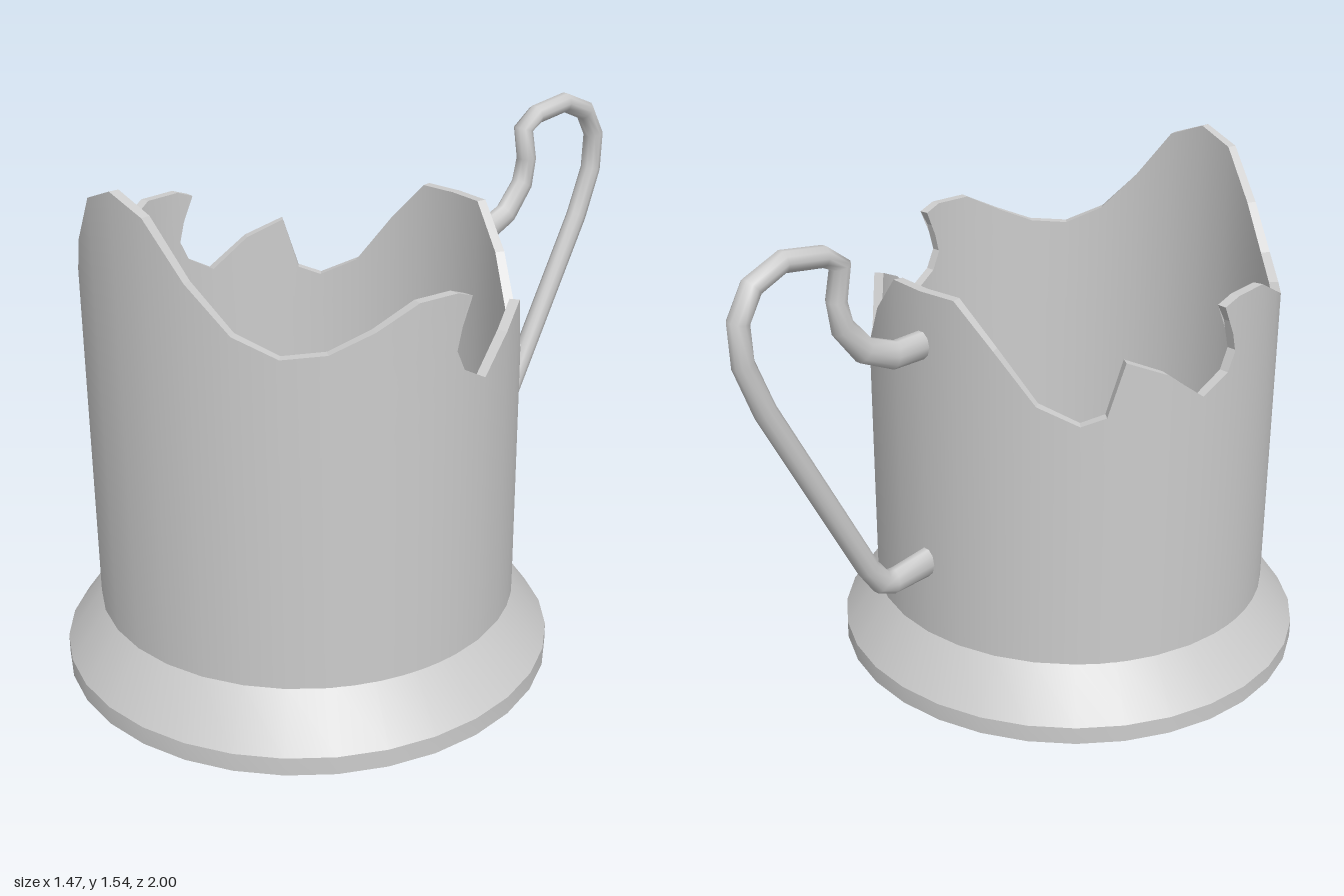
import * as THREE from 'three';
import { toCreasedNormals } from 'three/addons/utils/BufferGeometryUtils.js';

const CENTER_Z = 0.267, R_OUT = 0.625, R_IN = 0.596, SHOULDER = 0.205;
const material = new THREE.MeshStandardMaterial({ color: 0xcccccc, side: THREE.DoubleSide });

// Half of the ornamental rim, front to back: [angle at rim, rim height, angle at wall foot]
const HALF_RIM = [
  [0, 1.545, 0], [11.25, 1.5, 11.25], [22.5, 1.35, 22.5], [33.75, 1.225, 33.75],
  [45, 1.17, 44], [56.25, 1.18, 54], [67.5, 1.23, 62], [78.75, 1.29, 69], [90, 1.29, 75],
  [95.2, 1.27, 79], [92.5, 1.22, 82], [90.2, 1.13, 86], [92.9, 1.07, 92], [101.25, 1.02, 101.25],
  [112.5, 1.11, 112.5], [123.75, 1.16, 121], [128.3, 1.0, 128.3], [135, 0.975, 135],
  [146.25, 1.03, 146.25], [157.5, 1.18, 157.5], [168.75, 1.305, 168.75], [180, 1.305, 180],
];

// Cylindrical wall with thickness, its columns leaning where the rim overhangs
function wallGeometry() {
  const mirrored = HALF_RIM.slice(1, -1).reverse().map(([a, y, b]) => [360 - a, y, 360 - b]);
  const rim = [...HALF_RIM, ...mirrored, [360, HALF_RIM[0][1], 360]];
  const foot = 0.9, steps = 4;
  const positions = [], normals = [];
  const at = (deg, y, r) => {
    const a = THREE.MathUtils.degToRad(deg);
    return new THREE.Vector3(r * Math.sin(a), y, r * Math.cos(a));
  };
  // Points of one column from the shoulder up to the rim
  const column = ([a, y, b], r) => {
    const points = [at(b, SHOULDER, r)];
    for (let k = 0; k <= steps; k++) {
      const t = k / steps;
      points.push(at(b + (a - b) * t, foot + (y - foot) * t, r));
    }
    return points;
  };
  const quad = (p, q, r, s, normalOf) => {
    for (const v of [p, q, r, p, r, s]) {
      positions.push(...v);
      normals.push(...normalOf(v));
    }
  };
  const radial = (sign) => (v) => new THREE.Vector3(v.x, 0, v.z).normalize().multiplyScalar(sign);
  for (let i = 0; i < rim.length - 1; i++) {
    const o1 = column(rim[i], R_OUT), o2 = column(rim[i + 1], R_OUT);
    const i1 = column(rim[i], R_IN), i2 = column(rim[i + 1], R_IN);
    for (let k = 0; k <= steps; k++) {
      quad(o1[k], o2[k], o2[k + 1], o1[k + 1], radial(1));
      quad(i2[k], i1[k], i1[k + 1], i2[k + 1], radial(-1));
    }
    // Flat edge along the rim
    const top = steps + 1;
    const edge = new THREE.Vector3().subVectors(o2[top], o1[top]);
    const across = new THREE.Vector3().subVectors(i1[top], o1[top]);
    const up = edge.cross(across).normalize();
    quad(o1[top], o2[top], i2[top], i1[top], () => up);
  }
  const g = new THREE.BufferGeometry();
  g.setAttribute('position', new THREE.Float32BufferAttribute(positions, 3));
  g.setAttribute('normal', new THREE.Float32BufferAttribute(normals, 3));
  return g;
}

// Flared foot ring, open through the middle
function baseGeometry() {
  const profile = [[R_IN, SHOULDER], [R_IN, 0], [0.733, 0], [0.733, 0.055], [R_OUT, SHOULDER]];
  const lathe = new THREE.LatheGeometry(profile.map(([r, y]) => new THREE.Vector2(r, y)), 32);
  return toCreasedNormals(lathe, 0.5);
}

// Oval section swept along the handle path: [z, y, half thickness]
function handleGeometry() {
  const path = [
    [-0.345, 1.145, 0.043], [-0.46, 1.145, 0.042], [-0.565, 1.19, 0.039], [-0.636, 1.275, 0.035],
    [-0.652, 1.355, 0.03], [-0.634, 1.45, 0.03], [-0.69, 1.487, 0.03], [-0.82, 1.505, 0.031],
    [-0.92, 1.463, 0.032], [-0.968, 1.38, 0.032], [-0.963, 1.265, 0.032], [-0.904, 1.115, 0.033],
    [-0.583, 0.52, 0.034], [-0.535, 0.455, 0.037], [-0.49, 0.439, 0.041], [-0.345, 0.449, 0.048],
  ];
  const sides = 10, positions = [], index = [];
  path.forEach(([z, y, half], i) => {
    const a = path[Math.max(i - 1, 0)], b = path[Math.min(i + 1, path.length - 1)];
    const length = Math.hypot(b[0] - a[0], b[1] - a[1]);
    const nz = -(b[1] - a[1]) / length, ny = (b[0] - a[0]) / length;
    for (let s = 0; s < sides; s++) {
      const t = (s / sides) * Math.PI * 2;
      const d = Math.sin(t) * half;
      positions.push(Math.cos(t) * 0.031, y + ny * d, z + nz * d);
      if (i === 0) continue;
      const n = (s + 1) % sides, p = (i - 1) * sides, q = i * sides;
      index.push(p + s, p + n, q + s, p + n, q + n, q + s);
    }
  });
  const g = new THREE.BufferGeometry();
  g.setAttribute('position', new THREE.Float32BufferAttribute(positions, 3));
  g.setIndex(index);
  g.computeVertexNormals();
  return g;
}

export function createModel() {
  const model = new THREE.Group();
  model.name = 'glassHolder';
  const add = (name, geometry, z) => {
    const mesh = new THREE.Mesh(geometry, material);
    mesh.name = name;
    mesh.position.z = z;
    model.add(mesh);
  };
  add('scallopedWall', wallGeometry(), CENTER_Z);
  add('flaredBase', baseGeometry(), CENTER_Z);
  add('handle', handleGeometry(), 0);
  return model;
}
